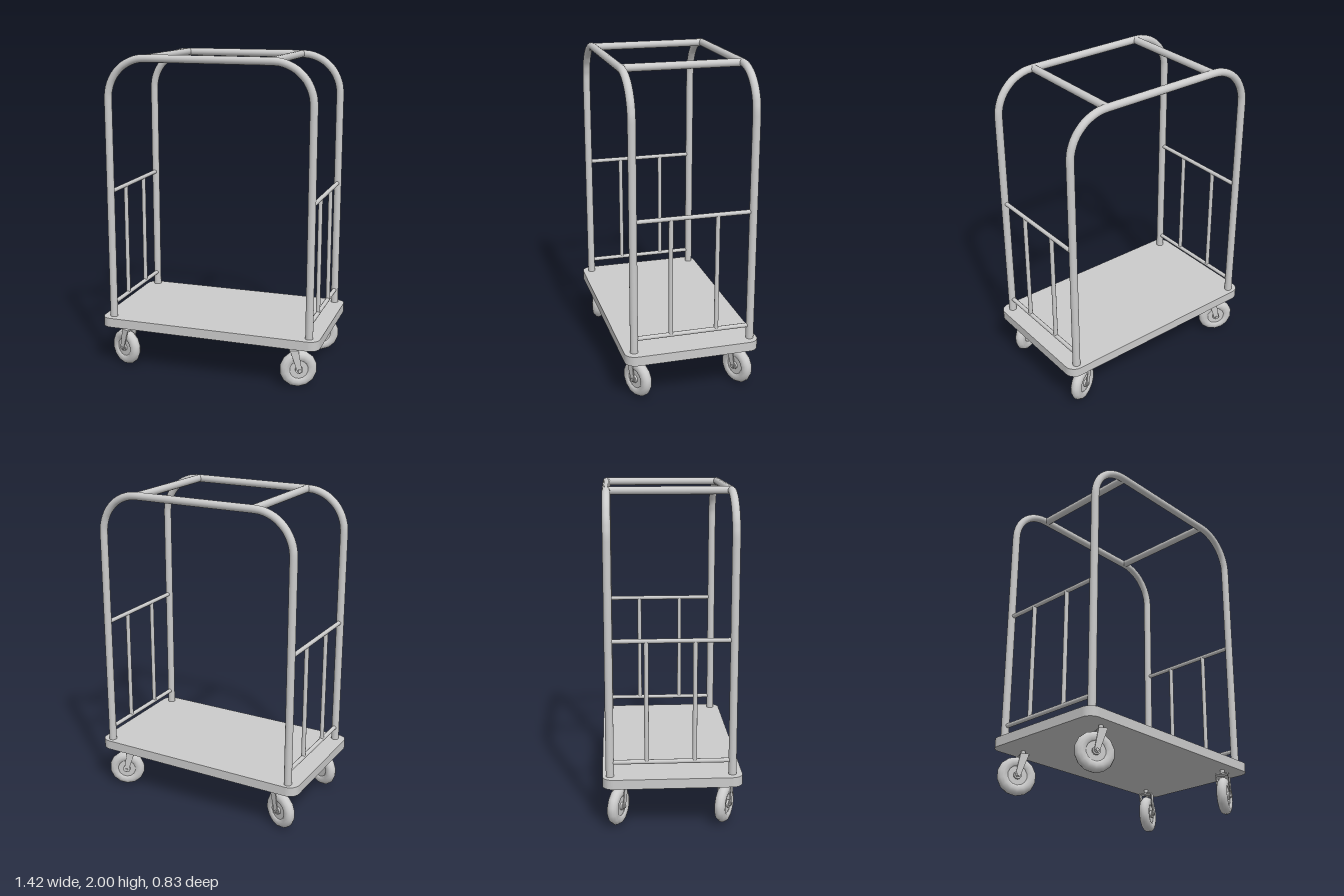
import * as THREE from 'three';

const material = new THREE.MeshStandardMaterial({ color: 0xcccccc, side: THREE.DoubleSide });
const V = (x, y, z) => new THREE.Vector3(x, y, z);

function add(parent, name, geometry, x = 0, y = 0, z = 0) {
  const mesh = new THREE.Mesh(geometry, material);
  mesh.name = name;
  mesh.position.set(x, y, z);
  parent.add(mesh);
  return mesh;
}

// Straight round bar between two points
function bar(parent, name, a, b, radius, sides = 16) {
  const mesh = add(parent, name, new THREE.CylinderGeometry(radius, radius, a.distanceTo(b), sides));
  mesh.position.copy(a).lerp(b, 0.5);
  mesh.quaternion.setFromUnitVectors(V(0, 1, 0), b.clone().sub(a).normalize());
  return mesh;
}

const POST_X = 0.643, FRONT_Z = 0.355, BACK_Z = -0.37, TOP_Y = 1.976, DECK_TOP = 0.332;

// Flat platform with rounded corners
function makeDeck() {
  const w = 0.71, d = 0.415, r = 0.065, s = new THREE.Shape();
  s.absarc(w - r, d - r, r, 0, Math.PI / 2);
  s.absarc(-w + r, d - r, r, Math.PI / 2, Math.PI);
  s.absarc(-w + r, -d + r, r, Math.PI, Math.PI * 1.5);
  s.absarc(w - r, -d + r, r, Math.PI * 1.5, Math.PI * 2);
  return new THREE.ExtrudeGeometry(s, { depth: 0.059, bevelEnabled: false, curveSegments: 8 })
    .rotateX(-Math.PI / 2);
}

// Arched hoop: two posts, two round bends and a top run
function makeHoop() {
  const r = 0.245, steps = 10, cy = TOP_Y - r, cx = POST_X - r;
  const points = [V(-POST_X, DECK_TOP - 0.01, 0)];
  for (const [x, start] of [[-cx, Math.PI], [cx, Math.PI / 2]])
    for (let i = 0; i <= steps; i++) {
      const a = start - (i / steps) * Math.PI / 2;
      points.push(V(x + r * Math.cos(a), cy + r * Math.sin(a), 0));
    }
  points.push(V(POST_X, DECK_TOP - 0.01, 0));
  const path = new THREE.CurvePath();
  for (let i = 1; i < points.length; i++) path.add(new THREE.LineCurve3(points[i - 1], points[i]));
  return new THREE.TubeGeometry(path, 160, 0.024, 16);
}

// Swivel caster; local +x is the trailing direction and z the axle
function makeCaster() {
  const caster = new THREE.Group();
  const trail = 0.034, axleY = 0.117;

  const tyreProfile = [
    [0.058, -0.022], [0.066, -0.030], [0.085, -0.033], [0.103, -0.027], [0.113, -0.014], [0.117, 0],
    [0.113, 0.014], [0.103, 0.027], [0.085, 0.033], [0.066, 0.030], [0.058, 0.022],
  ].map(p => new THREE.Vector2(...p));
  add(caster, 'tyre', new THREE.LatheGeometry(tyreProfile, 14).rotateX(Math.PI / 2), trail, axleY);
  add(caster, 'wheelDisc', new THREE.CylinderGeometry(0.06, 0.06, 0.04, 14).rotateX(Math.PI / 2), trail, axleY);
  add(caster, 'hub', new THREE.CylinderGeometry(0.024, 0.024, 0.066, 12).rotateX(Math.PI / 2), trail, axleY);
  add(caster, 'axle', new THREE.CylinderGeometry(0.01, 0.01, 0.096, 8).rotateX(Math.PI / 2), trail, axleY);

  // Tapered fork leg with a rounded lower end
  const leg = new THREE.Shape();
  leg.moveTo(-0.026, 0.248);
  leg.lineTo(trail - 0.016, axleY);
  leg.absarc(trail, axleY, 0.016, Math.PI, Math.PI * 2);
  leg.lineTo(0.026, 0.248);
  const legGeometry = new THREE.ExtrudeGeometry(leg, { depth: 0.006, bevelEnabled: false, curveSegments: 6 });
  for (const z of [-0.042, 0.036]) add(caster, 'forkLeg', legGeometry, 0, 0, z);

  add(caster, 'forkCrown', new THREE.BoxGeometry(0.052, 0.008, 0.084), 0, 0.244, 0);
  add(caster, 'swivelStem', new THREE.CylinderGeometry(0.014, 0.014, 0.04, 12), 0, 0.262, 0);
  return caster;
}

export function createModel() {
  const model = new THREE.Group();
  model.name = 'luggageCart';
  add(model, 'deck', makeDeck(), 0, DECK_TOP - 0.059, 0);

  const hoop = makeHoop();
  add(model, 'frontHoop', hoop, 0, 0, FRONT_Z);
  add(model, 'backHoop', hoop, 0, 0, BACK_Z);

  for (const side of [-1, 1]) {
    const label = side > 0 ? 'left' : 'right';
    bar(model, label + 'TopCrossbar', V(side * 0.387, TOP_Y, BACK_Z), V(side * 0.387, TOP_Y, FRONT_Z), 0.0235);

    // End guard of two rails and two uprights
    const guard = new THREE.Group();
    guard.name = label + 'EndGuard';
    const x = side * POST_X;
    for (const y of [0.418, 1.147]) bar(guard, 'rail', V(x, y, BACK_Z), V(x, y, FRONT_Z), 0.0135, 12);
    for (const z of [-0.153, 0.13]) bar(guard, 'upright', V(x, 0.418, z), V(x, 1.147, z), 0.0135, 12);
    model.add(guard);

    // Casters swivelled outward and slightly back
    for (const [end, z] of [['Front', 0.331], ['Back', -0.308]]) {
      const caster = makeCaster();
      caster.name = label + end + 'Caster';
      caster.position.set(side * 0.543 - 0.004, 0, z);
      caster.rotation.y = THREE.MathUtils.degToRad(side > 0 ? 25 : 155);
      model.add(caster);
    }
  }
  return model;
}
